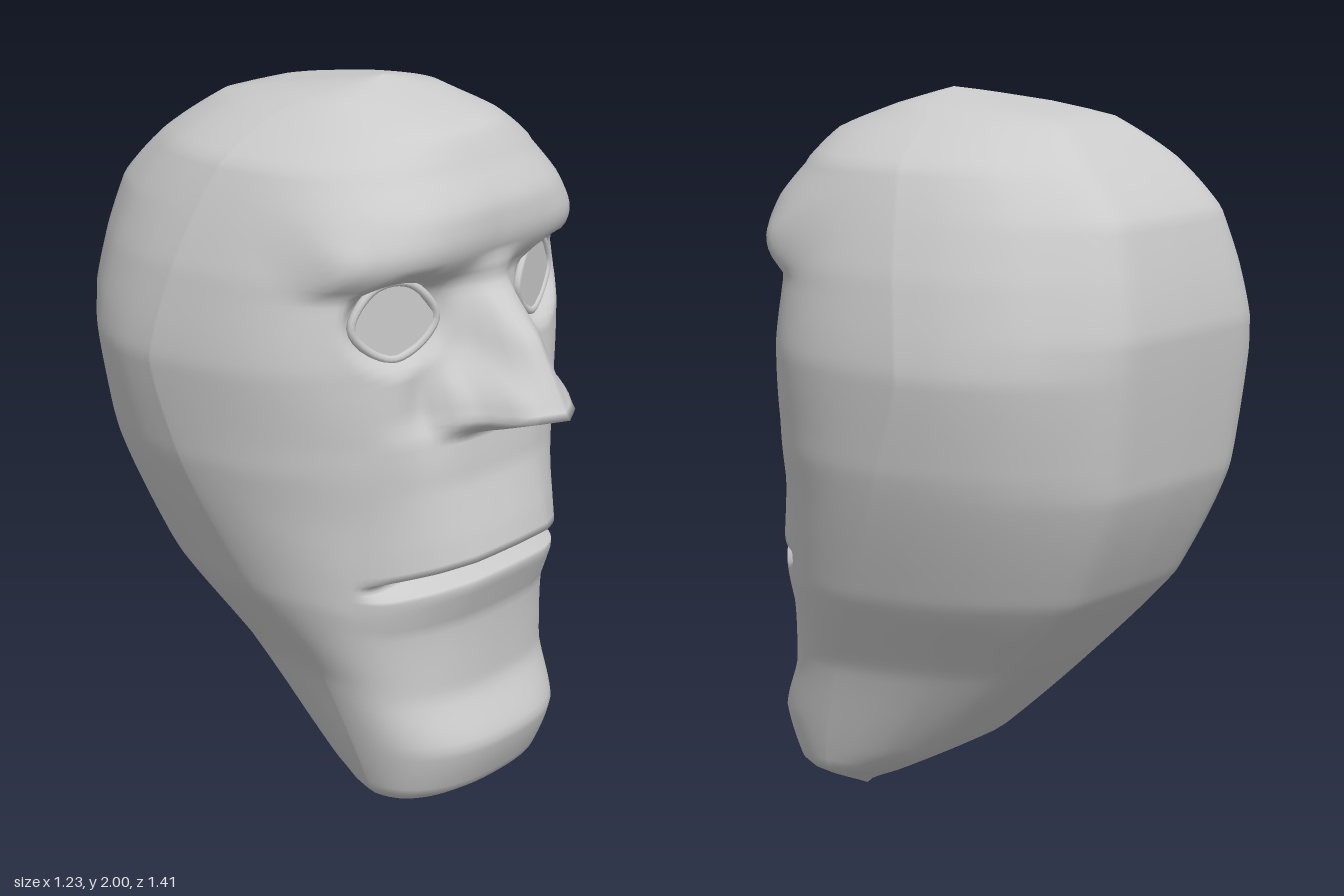
import * as THREE from 'three';

const material = new THREE.MeshStandardMaterial({ color: 0xcccccc });

// Straight-line lookup in a short list of [position, value] pairs
function lookup(table, t) {
  if (t <= table[0][0]) return table[0][1];
  for (let i = 1; i < table.length; i++) {
    const [t0, v0] = table[i - 1], [t1, v1] = table[i];
    if (t <= t1) return v0 + (v1 - v0) * (t - t0) / (t1 - t0);
  }
  return table[table.length - 1][1];
}

// Smooth curve through the same kind of list, without overshoot
function smooth(table, t) {
  const last = table.length - 2;
  let i = 0;
  while (i < last && t > table[i + 1][0]) i++;
  const slope = k => (table[k + 1][1] - table[k][1]) / (table[k + 1][0] - table[k][0]);
  const tangent = k => {
    if (k === 0) return slope(0);
    if (k > last) return slope(last);
    const a = slope(k - 1), b = slope(k);
    return a * b > 0 ? 2 * a * b / (a + b) : 0;
  };
  const h = table[i + 1][0] - table[i][0], s = (t - table[i][0]) / h;
  const r = 1 - s;
  return table[i][1] * (1 + 2 * s) * r * r + tangent(i) * h * s * r * r
    + table[i + 1][1] * s * s * (3 - 2 * s) - tangent(i + 1) * h * s * s * r;
}

// Halfway between the two, for softly faceted profiles
const soft = (table, t) => (lookup(table, t) + smooth(table, t)) / 2;

// Skull profiles by height: half width, front, back and depth of the widest point
const WIDTH = [[0, 0.13], [0.09, 0.31], [0.43, 0.39], [0.68, 0.505], [1.05, 0.6], [1.31, 0.617],
  [1.55, 0.57], [1.82, 0.45], [1.96, 0.22], [1.99, 0.07], [2, 0]];
const FRONT = [[0, 0.3], [0.1, 0.5], [0.24, 0.555], [0.38, 0.495], [0.6, 0.475], [0.8, 0.475], [1, 0.47],
  [1.15, 0.455], [1.3, 0.43], [1.5, 0.42], [1.6, 0.45], [1.71, 0.46], [1.89, 0.37], [2, 0.08]];
const BACK = [[0, 0.3], [0.15, 0.02], [0.68, -0.52], [0.99, -0.66], [1.4, -0.705], [1.69, -0.64],
  [1.93, -0.37], [2, 0.08]];
const WIDEST = [[0, 0.3], [0.1, 0.3], [0.43, 0.2], [0.68, 0.05], [1, -0.1], [1.3, -0.2], [1.7, -0.12],
  [1.93, -0.04], [2, 0.08]];

// Squareness of the front half by height, and the outline of the back half
const SQUARE = [[0, 2.4], [0.3, 2.5], [0.6, 2.2], [0.9, 2.25], [1.1, 2.55], [1.35, 3.1], [1.7, 2.8], [1.95, 2.4]];
const BACK_SECTION = [[0, 1], [0.44, 0.985], [0.81, 0.63], [0.95, 0.29], [1, 0]];

// Nose: ridge depth by height, and cross-sections at the bridge and at the wings
const RIDGE = [[1.12, 0.485], [1.17, 0.705], [1.37, 0.6], [1.5, 0.47], [1.58, 0.45]];
const BRIDGE = [[0, 1], [0.05, 0.85], [0.1, 0.2], [0.15, 0]];
const WINGS = [[0, 1], [0.1, 0.8], [0.14, 0.38], [0.2, 0.2], [0.23, 0]];

// Lips: depth above and below the slit, fading towards the corners
const SLIT = 0.76;
const LIPS = [[-0.36, 0], [-0.16, 0.025], [-0.05, 0.068], [-0.028, 0.068], [-0.012, -0.06],
  [0.012, -0.06], [0.028, 0.08], [0.1, 0.065], [0.235, 0.03], [0.36, 0.03], [0.42, 0]];
const LIP_FADE = [[0, 1], [0.16, 0.95], [0.26, 0.7], [0.34, 0.35], [0.41, 0]];

// Brow: strength by height and by distance from the middle
const BROW = [[1.52, 0], [1.58, 0.75], [1.63, 1], [1.7, 0.7], [1.8, 0]];
const BROW_SPAN = [[0, 0.025], [0.2, 0.035], [0.42, 0.06], [0.485, 0.09], [0.53, 0]];

function faceRelief(x, y) {
  const ax = Math.abs(x);
  let d = smooth(BROW, THREE.MathUtils.clamp(y, 1.52, 1.8)) * lookup(BROW_SPAN, ax);
  d += lookup(LIPS, y - SLIT) * lookup(LIP_FADE, ax);
  // Nose
  if (y > 1.12 && y < 1.58) {
    const k = THREE.MathUtils.smoothstep(y, 1.2, 1.38);
    const section = THREE.MathUtils.lerp(lookup(WINGS, ax), lookup(BRIDGE, ax), k);
    d += Math.max(0, lookup(RIDGE, y) - soft(FRONT, y)) * section;
  }
  // Eye sockets
  const e = Math.hypot((ax - 0.3) / 0.14, (y - 1.44) / 0.12);
  d -= 0.055 * (1 - THREE.MathUtils.smoothstep(e, 0.65, 1.2));
  // Hollows beside the nose wings
  d -= 0.02 * Math.exp(-(((ax - 0.25) / 0.06) ** 2) - ((y - 1.2) / 0.14) ** 2);
  return d;
}

function buildHead() {
  // Row heights fall on the main creases and are evenly divided between them
  const creases = [0, 0.1, 0.24, 0.38, 0.6, 0.71, 0.732, 0.748, 0.772, 0.788, 0.86, 1, 1.12, 1.17,
    1.3, 1.52, 1.58, 1.63, 1.7, 1.8, 1.93, 1.96, 1.98, 1.99, 2];
  const rows = [0];
  for (let i = 1; i < creases.length; i++) {
    const a = creases[i - 1], b = creases[i], n = Math.ceil((b - a) / 0.02 - 1e-6);
    for (let k = 1; k <= n; k++) rows.push(a + (b - a) * k / n);
  }
  const nFront = 84, nBack = 36, ring = nFront + nBack;
  const pos = [], index = [];
  for (const y of rows) {
    const w = soft(WIDTH, y), zf = soft(FRONT, y), zb = soft(BACK, y), zc = soft(WIDEST, y);
    const n = smooth(SQUARE, y);
    // Rows bend down towards the mouth corners, then level out on the cheeks
    const bend = lookup([[0.5, 0], [0.7, 1], [0.8, 1], [1.05, 0]], y);
    for (let i = 0; i < ring; i++) {
      const front = i <= nFront;
      const a = front ? Math.PI * (i / nFront - 0.5) : Math.PI * (0.5 - (i - nFront) / nBack);
      const u = Math.sin(a), au = Math.abs(u), x = w * u;
      let z, py = y;
      if (front) {
        z = zc + (zf - zc) * Math.pow(Math.max(0, 1 - Math.pow(au, n)), 1 / n);
        z += faceRelief(x, y) * (1 - Math.pow(au, 14));
        py -= 0.36 * x * x * bend * (1 - THREE.MathUtils.smoothstep(au, 0.65, 1));
      } else {
        z = zc + (zb - zc) * smooth(BACK_SECTION, au);
      }
      // Cleft under the chin
      py += 0.035 * Math.max(0, 1 - Math.abs(x) / 0.13) * Math.max(0, 1 - y / 0.1);
      pos.push(x, py, z);
    }
  }
  for (let j = 0; j < rows.length - 1; j++) {
    for (let i = 0; i < ring; i++) {
      const a = j * ring + i, b = j * ring + (i + 1) % ring;
      index.push(a, b, b + ring, a, b + ring, a + ring);
    }
  }
  const geometry = new THREE.BufferGeometry();
  geometry.setAttribute('position', new THREE.Float32BufferAttribute(pos, 3));
  geometry.setIndex(index);
  geometry.computeVertexNormals();
  const head = new THREE.Mesh(geometry, material);
  head.name = 'head';
  return head;
}

// Flat eye with a thin lid around it, turned slightly outwards
function buildEye(side) {
  const outline = [[0.125, 0], [0.07, 0.08], [0, 0.098], [-0.06, 0.08], [-0.125, 0],
    [-0.085, -0.06], [0, -0.095], [0.08, -0.06]].map(([x, y]) => new THREE.Vector2(x, y));
  const eyeball = new THREE.Mesh(new THREE.ShapeGeometry(new THREE.Shape(outline)), material);
  eyeball.name = 'eyeball';
  const path = new THREE.CatmullRomCurve3(
    outline.map(p => new THREE.Vector3(p.x * 1.04, p.y * 1.06, -0.004)), true);
  const lid = new THREE.Mesh(new THREE.TubeGeometry(path, 40, 0.012, 8, true), material);
  lid.name = 'eyelid';
  const eye = new THREE.Group();
  eye.name = side > 0 ? 'leftEye' : 'rightEye';
  eye.add(eyeball, lid);
  eye.position.set(0.3 * side, 1.44, 0.366);
  eye.rotation.y = 0.31 * side;
  eye.scale.x = side;
  return eye;
}

export function createModel() {
  const model = new THREE.Group();
  model.name = 'headSculpture';
  model.add(buildHead(), buildEye(1), buildEye(-1));
  return model;
}
